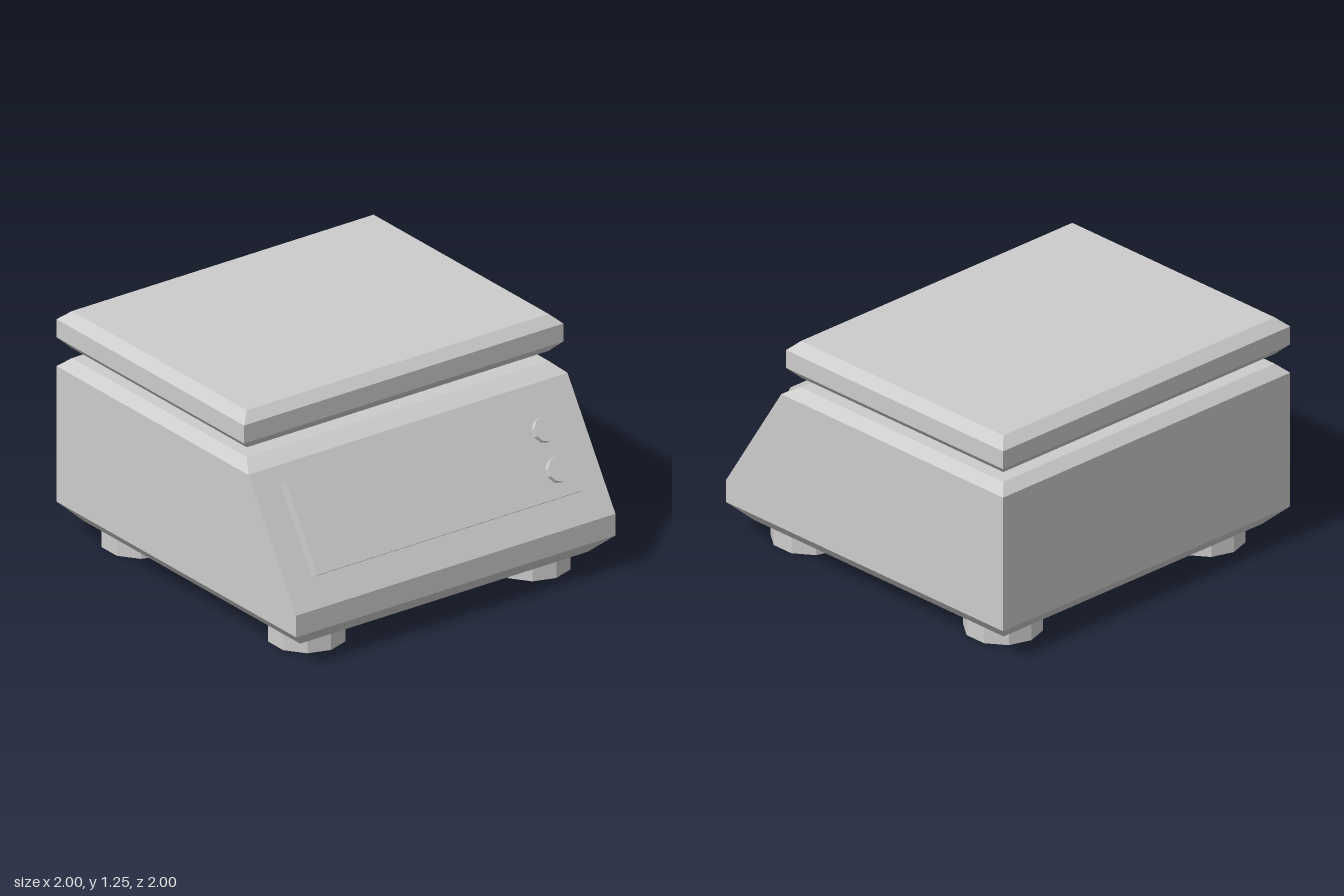
import * as THREE from 'three';

const grey = new THREE.MeshStandardMaterial({ color: 0xcccccc, flatShading: true });
grey.name = 'grey casing';

// Closed solid from stacked rectangles: [y, halfWidth, zBack, zFront]
function stackedRects(rows) {
  const pos = [];
  const rings = rows.map(([y, w, b, f]) => [[-w, y, f], [w, y, f], [w, y, b], [-w, y, b]]);
  const quad = (a, b, c, d) => [a, b, c, a, c, d].forEach((p) => pos.push(...p));
  for (let i = 0; i < rings.length - 1; i++) {
    for (let k = 0; k < 4; k++) {
      const n = (k + 1) % 4;
      quad(rings[i][k], rings[i][n], rings[i + 1][n], rings[i + 1][k]);
    }
  }
  quad(...[...rings[0]].reverse());
  quad(...rings[rings.length - 1]);
  const geo = new THREE.BufferGeometry();
  geo.setAttribute('position', new THREE.Float32BufferAttribute(pos, 3));
  geo.computeVertexNormals();
  return geo;
}

function add(parent, name, geometry, x = 0, y = 0, z = 0) {
  const mesh = new THREE.Mesh(geometry, grey);
  mesh.name = name;
  mesh.position.set(x, y, z);
  parent.add(mesh);
  return mesh;
}

export function createModel() {
  const model = new THREE.Group();
  model.name = 'countertopScale';

  // Housing with chamfered base, sloping front and bevelled top
  add(model, 'housing', stackedRects([
    [0.09, 0.9, -0.9, 0.9],
    [0.19, 1, -1, 1],
    [0.31, 1, -1, 1],
    [0.94, 1, -1, 0.6],
    [0.99, 0.945, -0.945, 0.515],
  ]));

  // Pedestal carrying the weighing plate
  add(model, 'pedestal', new THREE.BoxGeometry(1.31, 0.08, 0.875), 0, 1.02, -0.213);

  // Weighing plate, bevelled above and below
  add(model, 'weighingPlate', stackedRects([
    [1.045, 0.945, -0.945, 0.515],
    [1.1, 1, -1, 0.565],
    [1.2, 1, -1, 0.565],
    [1.25, 0.945, -0.945, 0.515],
  ]));

  // Ten-sided feet
  const footGeo = new THREE.CylinderGeometry(0.204, 0.204, 0.1, 10);
  for (const x of [-0.705, 0.705]) {
    for (const z of [-0.695, 0.695]) add(model, 'foot', footGeo, x, 0.05, z);
  }

  // Control panel: local y runs up the slope, local z points out of it
  const panel = new THREE.Group();
  panel.name = 'controlPanel';
  panel.position.set(0, 0.31, 1);
  panel.rotation.x = -Math.atan2(0.4, 0.63);
  model.add(panel);
  add(panel, 'panelPlate', new THREE.BoxGeometry(1.675, 0.487, 0.065), 0, 0.403, 0.0225);

  // Two round push buttons
  const buttonGeo = new THREE.CylinderGeometry(0.066, 0.066, 0.04, 10).rotateX(Math.PI / 2);
  for (const y of [0.296, 0.508]) add(panel, 'button', buttonGeo, 0.715, y, 0.065);

  return model;
}
